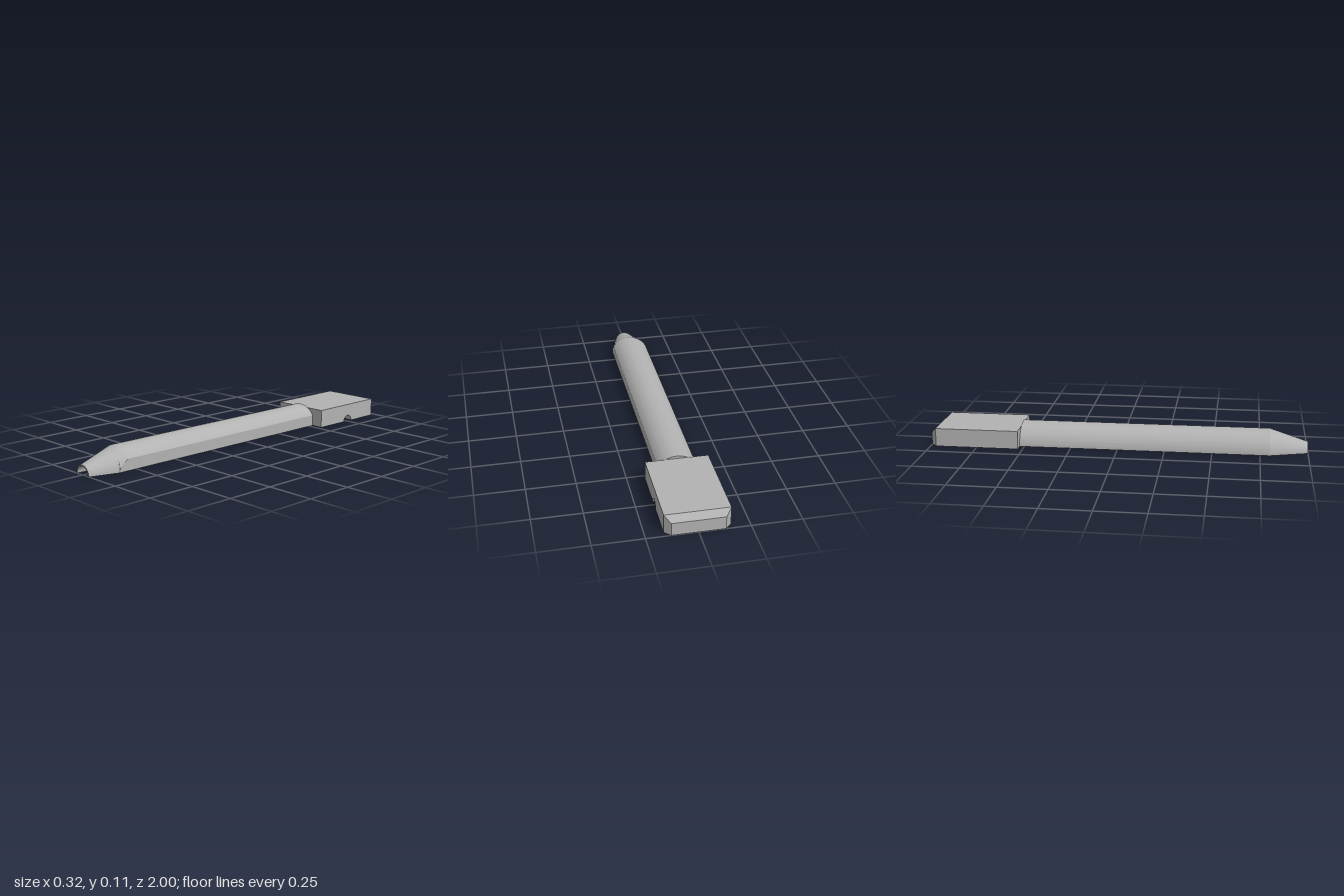
import * as THREE from 'three';
import { toCreasedNormals } from 'three/addons/utils/BufferGeometryUtils.js';

const R = 0.112, TIP = 0.049, FLAT = 0.095;        // shaft radius, tip radius, side flat
const BORE = 0.033, MOUTH = 0.043;                 // channel radii
const TAPER = 0.8, STEP = 0.88, NECK = -0.525;     // z stations along the shaft
const W = 0.16, H = 0.0975, CROSS = -0.755;        // head half width, height, cross channel z
const Z0 = CROSS - BORE, Z1 = CROSS + BORE;

export function createModel() {
  const model = new THREE.Group();
  const grey = new THREE.MeshStandardMaterial({ color: 0xb2b2b2, side: THREE.DoubleSide });
  grey.name = 'plain grey';

  const add = (name, geo, x = 0, y = 0, z = 0) => {
    const mesh = new THREE.Mesh(geo, grey);
    mesh.name = name;
    mesh.position.set(x, y, z);
    model.add(mesh);
  };
  const outline = pts => new THREE.Shape(pts.map(([x, y]) => new THREE.Vector2(x, y)));
  const flat = shape => new THREE.ShapeGeometry(shape, 32);
  const face = (...corners) => {
    const pts = [];
    for (let i = 1; i < corners.length - 1; i++) pts.push(...corners[0], ...corners[i], ...corners[i + 1]);
    const geo = new THREE.BufferGeometry();
    geo.setAttribute('position', new THREE.Float32BufferAttribute(pts, 3));
    geo.computeVertexNormals();
    return geo;
  };
  // upper half of an open tube lying along z
  const halfTube = (r, length) =>
    new THREE.CylinderGeometry(r, r, length, 32, 1, true, Math.PI / 2, Math.PI).rotateX(Math.PI / 2);
  const halfDisc = r => new THREE.CircleGeometry(r, 32, 0, Math.PI);
  const halfRing = (inner, outer) => new THREE.RingGeometry(inner, outer, 32, 1, 0, Math.PI);

  // half-round shaft with a side flat and a tapered nose
  const stations = [NECK, TAPER, 0.815, 0.83, 0.845, 0.854, 1];
  const N = 40, pos = [], index = [];
  stations.forEach((z, i) => {
    const r = z <= TAPER ? R : R + (TIP - R) * (z - TAPER) / (1 - TAPER);
    const start = Math.acos(Math.min(1, FLAT / r));
    pos.push(Math.min(r, FLAT), 0, z);
    for (let j = 0; j <= N; j++) {
      const a = start + (Math.PI - start) * j / N;
      pos.push(r * Math.cos(a), r * Math.sin(a), z);
    }
    if (i === stations.length - 1) return;
    for (let j = 0; j <= N; j++) {
      const a = i * (N + 2) + j, c = a + N + 2;
      index.push(a, a + 1, c, a + 1, c + 1, c);
    }
  });
  const shaft = new THREE.BufferGeometry();
  shaft.setAttribute('position', new THREE.Float32BufferAttribute(pos, 3));
  shaft.setIndex(index);
  add('shaft', toCreasedNormals(shaft, 0.2));

  // end of the shaft standing above the head
  const chord = Math.asin(H / R);
  const cap = new THREE.Shape().absarc(0, 0, R, chord, Math.PI - chord, false);
  add('shaftEnd', flat(cap).rotateY(Math.PI), 0, 0, NECK);
  add('tipRim', halfRing(MOUTH, TIP), 0, 0, 1);

  // head shoulders around the shaft
  const flatAngle = Math.acos(FLAT / R);
  const rightShoulder = outline([[FLAT, 0], [W, 0], [W, H], [R * Math.cos(chord), H]]);
  rightShoulder.absarc(0, 0, R, chord, flatAngle, true);
  const leftShoulder = outline([[-R * Math.cos(chord), H], [-W, H], [-W, 0], [-R, 0]]);
  leftShoulder.absarc(0, 0, R, Math.PI, Math.PI - chord, true);
  add('leftShoulder', flat(rightShoulder), 0, 0, NECK);
  add('rightShoulder', flat(leftShoulder), 0, 0, NECK);

  // head top, sides and chamfered back
  const B = -0.97, bw = 0.13, bh = 0.067;
  add('headTop', face([-W, H, NECK], [W, H, NECK], [W, H, B], [-W, H, B]));
  add('headRightSide', face([-W, 0, NECK], [-W, H, NECK], [-W, H, B], [-W, 0, B]));
  const side = outline([[-NECK, 0], [-Z1, 0]]);
  side.absarc(-CROSS, 0, BORE, Math.PI, 0, true);
  side.lineTo(-B, 0).lineTo(-B, H).lineTo(-NECK, H);
  add('headLeftSide', flat(side).rotateY(Math.PI / 2), W);
  add('headBack', face([bw, 0, -1], [-bw, 0, -1], [-bw, bh, -1], [bw, bh, -1]));
  add('topChamfer', face([-W, H, B], [W, H, B], [bw, bh, -1], [-bw, bh, -1]));
  add('leftChamfer', face([W, 0, B], [bw, 0, -1], [bw, bh, -1], [W, H, B]));
  add('rightChamfer', face([-W, 0, B], [-W, H, B], [-bw, bh, -1], [-bw, 0, -1]));

  // underside, divided by the channel, with two blind peg holes
  const leftBase = outline([[MOUTH, 1], [TIP, 1], [FLAT, 0.854], [FLAT, NECK], [W, NECK],
    [W, Z1], [BORE, Z1], [BORE, STEP], [MOUTH, STEP]]);
  const rightBase = outline([[W, Z0], [W, B], [bw, -1], [-bw, -1], [-W, B], [-W, NECK], [-R, NECK],
    [-R, TAPER], [-TIP, 1], [-MOUTH, 1], [-MOUTH, STEP], [-BORE, STEP], [-BORE, Z0]]);
  const pegR = 0.026, pegDepth = 0.046;
  for (const [x, z] of [[-0.072, 0.2], [0.092, -0.85]]) {
    rightBase.holes.push(new THREE.Path().absarc(x, z, pegR, 0, Math.PI * 2, true));
    add('pegHoleWall', new THREE.CylinderGeometry(pegR, pegR, pegDepth, 32, 1, true), x, pegDepth / 2, z);
    add('pegHoleFloor', new THREE.CircleGeometry(pegR, 32).rotateX(Math.PI / 2), x, pegDepth, z);
  }
  add('leftUnderside', flat(leftBase).rotateX(Math.PI / 2));
  add('rightUnderside', flat(rightBase).rotateX(Math.PI / 2));

  // main channel with a wider mouth, turning out through the head
  add('channelMouth', halfTube(MOUTH, 1 - STEP), 0, 0, (1 + STEP) / 2);
  add('channelStep', halfRing(BORE, MOUTH), 0, 0, STEP);
  add('mainChannel', halfTube(BORE, STEP - Z1), 0, 0, (STEP + Z1) / 2);
  add('crossChannel', halfTube(BORE, W - BORE).rotateY(Math.PI / 2), (W + BORE) / 2, 0, CROSS);

  // ceiling and end walls where the channels meet
  const elbow = new THREE.PlaneGeometry(2 * BORE, 2 * BORE, 24, 24).rotateX(Math.PI / 2);
  const p = elbow.attributes.position;
  for (let i = 0; i < p.count; i++) {
    const d = Math.min(Math.abs(p.getX(i)), Math.abs(p.getZ(i)));
    p.setY(i, Math.sqrt(Math.max(0, BORE * BORE - d * d)));
  }
  elbow.computeVertexNormals();
  add('channelElbow', elbow, 0, 0, CROSS);
  add('mainChannelEnd', halfDisc(BORE), 0, 0, Z0);
  add('crossChannelEnd', halfDisc(BORE).rotateY(Math.PI / 2), -BORE, 0, CROSS);

  return model;
}
